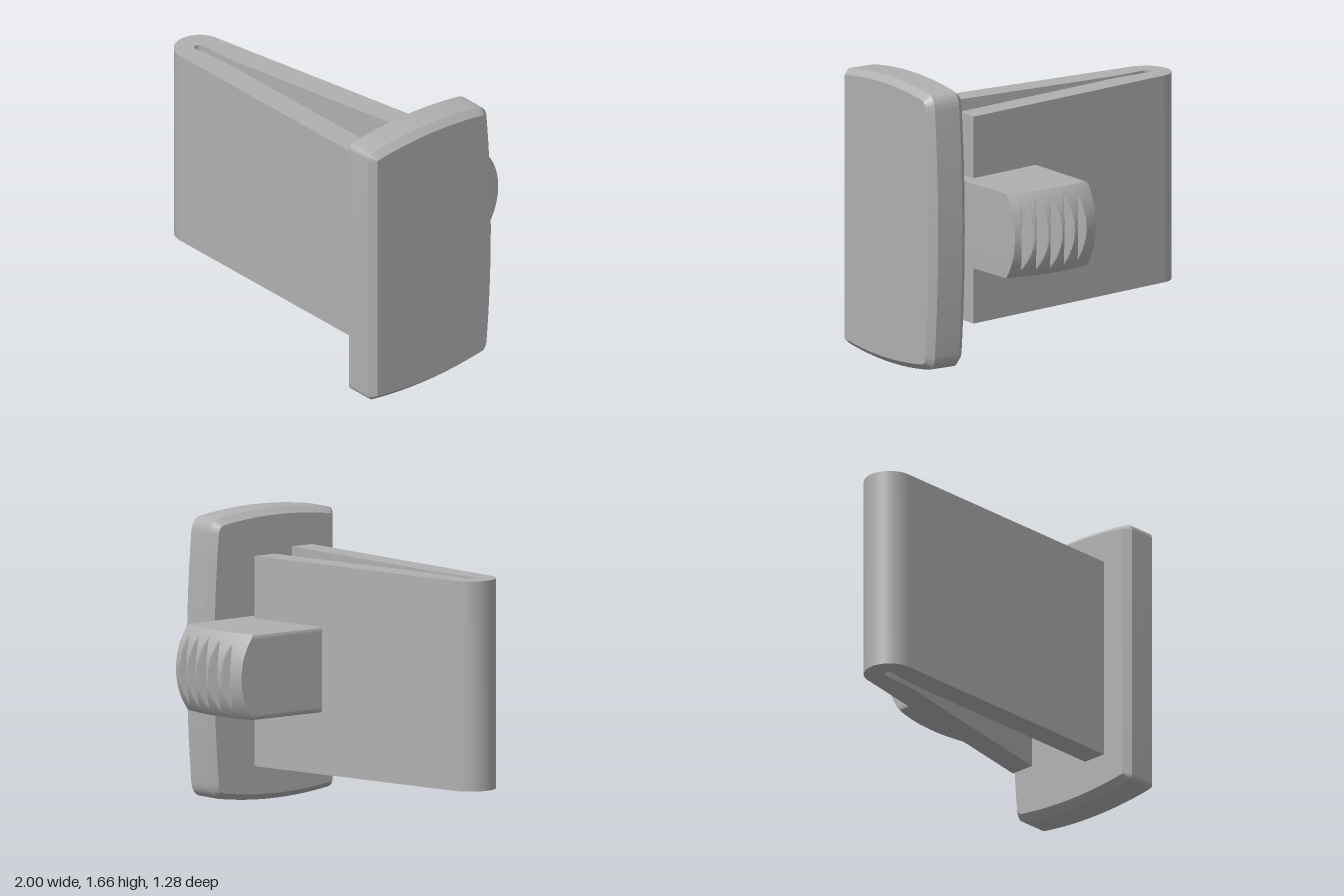
import * as THREE from 'three';
import { toCreasedNormals } from 'three/addons/utils/BufferGeometryUtils.js';

const MID = 0.833; // height of the horizontal symmetry plane

// Folded spring strip: a hairpin outline drawn in plan (shape y = -z), extruded upwards
function springStrip() {
  const s = new THREE.Shape();
  s.moveTo(0.77, -0.455);
  s.lineTo(0.77, -0.31);
  s.lineTo(-0.6, -0.31);
  s.quadraticCurveTo(-0.74, -0.315, -0.85, -0.335);
  s.absarc(-0.857, -0.308, 0.027, -Math.PI / 2, Math.PI / 2, true);
  s.quadraticCurveTo(-0.74, -0.28, -0.6, -0.265);
  s.lineTo(0.59, -0.051);
  s.lineTo(0.59, 0.095);
  s.lineTo(-0.87, -0.163);
  s.absarc(-0.853, -0.308, 0.147, 1.69, Math.PI * 1.5, false);
  const g = new THREE.ExtrudeGeometry(s, { depth: 1.2, bevelEnabled: false, curveSegments: 24 });
  g.rotateX(-Math.PI / 2).translate(0, 0.235, 0);
  return toCreasedNormals(g, 0.5);
}

// End plate: bowed outline (shape x = -z), bevelled on both faces
function endPlate() {
  const s = new THREE.Shape();
  const h = 0.83;
  s.moveTo(-0.635, -h + 0.07);
  s.quadraticCurveTo(-0.635, -h + 0.035, -0.6, -h + 0.03);
  s.quadraticCurveTo(-0.2, -h - 0.03, 0.19, -h + 0.03);
  s.quadraticCurveTo(0.245, -h + 0.04, 0.255, -h + 0.11);
  s.quadraticCurveTo(0.32, 0, 0.255, h - 0.11);
  s.quadraticCurveTo(0.245, h - 0.04, 0.19, h - 0.03);
  s.quadraticCurveTo(-0.2, h + 0.03, -0.6, h - 0.03);
  s.quadraticCurveTo(-0.635, h - 0.035, -0.635, h - 0.07);
  s.closePath();
  const g = new THREE.ExtrudeGeometry(s, {
    depth: 0.165, bevelThickness: 0.04, bevelSize: 0.035, bevelOffset: -0.035,
    bevelSegments: 1, curveSegments: 16,
  });
  g.rotateY(Math.PI / 2).translate(0.795, MID, 0);
  return toCreasedNormals(g, 0.5);
}

// Thumb button: crowned back surface cut by five vertical V grooves
function thumbButton() {
  const NX = 113, NY = 48, X0 = 0.09, R = 0.378, HALF = 0.245, FILLET = 0.02;
  const grooves = [[0.2, -0.57], [0.3, -0.578], [0.395, -0.58], [0.49, -0.578], [0.585, -0.57]];

  const height = (i, j) => {
    const d = Math.max(0, FILLET - i * 0.005);
    const inset = FILLET - Math.sqrt(FILLET * FILLET - d * d);
    return (2 * j / NY - 1) * (HALF - inset);
  };
  const back = (i, j) => {
    const x = X0 + i * 0.005, y = height(i, j);
    let z = -0.642 + 0.5 * (x - 0.41) ** 2 + R - Math.sqrt(R * R - y * y);
    for (const [gx, gz] of grooves) {
      const d = x - gx;
      z = Math.max(z, gz - (d > 0 ? 1.7 * d : -1.35 * d));
    }
    return [x, MID + y, z];
  };
  const front = (i, j) => {
    const x = X0 + i * 0.005 * (0.59 / 0.565);
    return [x, MID + height(i, j), 0.155 - 0.18 * x];
  };

  const pos = [];
  const quad = (a, b, c, d) => pos.push(...a, ...b, ...c, ...a, ...c, ...d);
  for (let i = 0; i < NX; i++) {
    for (let j = 0; j < NY; j++) {
      quad(back(i, j), back(i, j + 1), back(i + 1, j + 1), back(i + 1, j));
    }
    quad(front(i, 0), front(i + 1, 0), front(i + 1, NY), front(i, NY));
    quad(back(i, NY), front(i, NY), front(i + 1, NY), back(i + 1, NY));
    quad(back(i, 0), back(i + 1, 0), front(i + 1, 0), front(i, 0));
  }
  for (let j = 0; j < NY; j++) {
    quad(back(0, j), front(0, j), front(0, j + 1), back(0, j + 1));
    quad(back(NX, j), back(NX, j + 1), front(NX, j + 1), front(NX, j));
  }
  const g = new THREE.BufferGeometry();
  g.setAttribute('position', new THREE.Float32BufferAttribute(pos, 3));
  return toCreasedNormals(g, 0.5);
}

export function createModel() {
  const grey = new THREE.MeshStandardMaterial({ color: 0xb0b0b0 });
  grey.name = 'grey plastic';
  const model = new THREE.Group();
  model.name = 'springClip';
  const parts = { springStrip: springStrip(), endPlate: endPlate(), thumbButton: thumbButton() };
  for (const [name, geometry] of Object.entries(parts)) {
    const mesh = new THREE.Mesh(geometry, grey);
    mesh.name = name;
    model.add(mesh);
  }
  return model;
}
